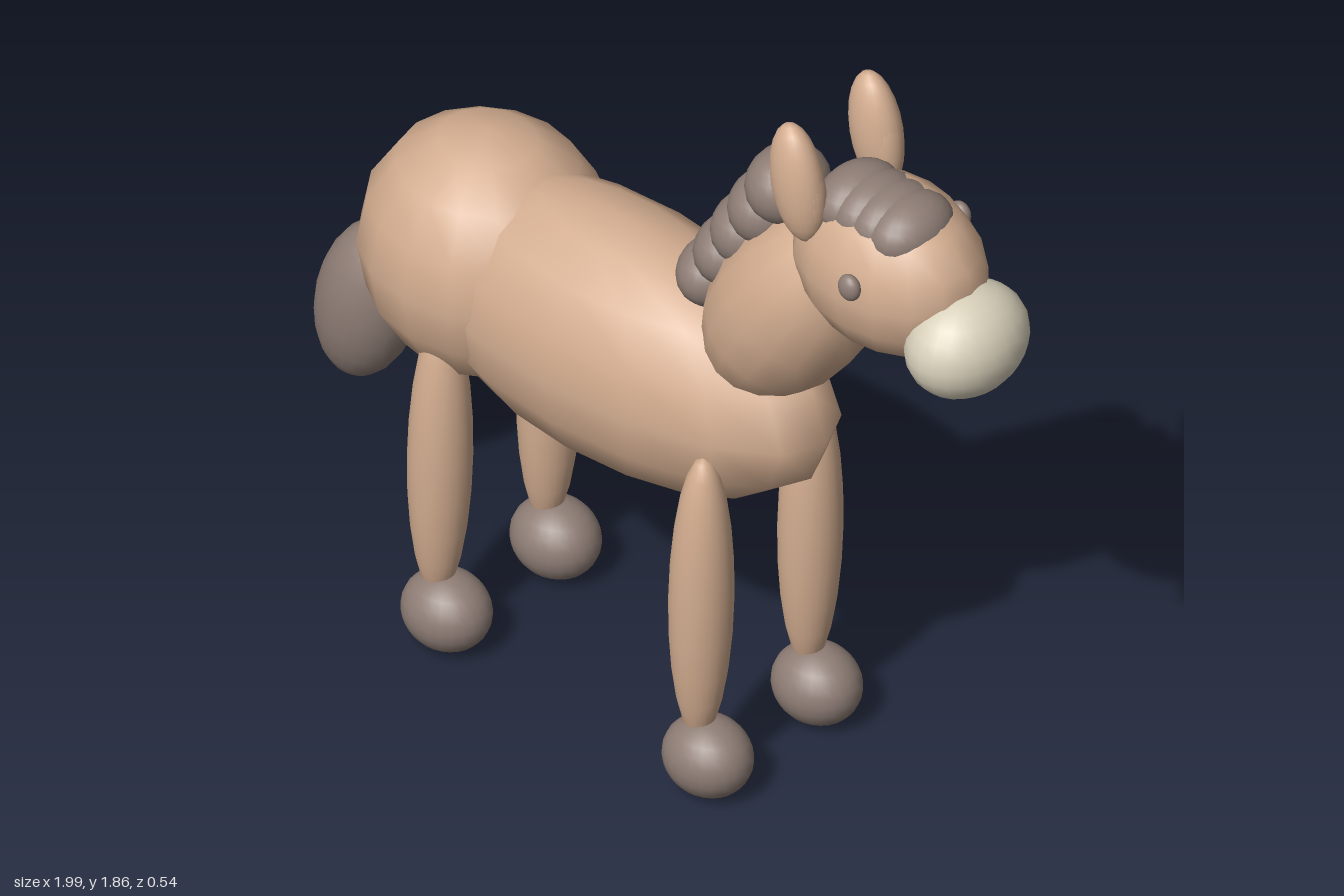
import * as THREE from 'three';

const mat = (name, color) => {
  const m = new THREE.MeshStandardMaterial({ color });
  m.name = name;
  return m;
};

export function createModel() {
  const horse = new THREE.Group();
  horse.name = 'horse';
  const coat = mat('tan coat', 0xd3ad90);
  const hair = mat('grey brown hair', 0x8e7d75);
  const cream = mat('cream muzzle', 0xd8d0ba);

  // Every part is a smooth ellipsoid: centre, radii, tilt about z
  const blob = (name, material, centre, radii, tilt = 0, rings = 12) => {
    const mesh = new THREE.Mesh(new THREE.SphereGeometry(1, rings > 8 ? 24 : 16, rings), material);
    mesh.name = name;
    mesh.position.set(...centre);
    mesh.scale.set(...radii);
    mesh.rotation.z = tilt;
    horse.add(mesh);
  };

  // Trunk, neck and head
  blob('body', coat, [-0.12, 0.93, 0], [0.59, 0.305, 0.25], 0, 8);
  blob('rump', coat, [-0.51, 0.962, 0], [0.293, 0.303, 0.268], 0, 8);
  blob('neck', coat, [0.385, 1.28, 0], [0.18, 0.325, 0.175], -0.56, 8);
  blob('head', coat, [0.655, 1.518, 0], [0.24, 0.205, 0.175], 0, 8);
  blob('muzzle', cream, [0.875, 1.425, 0], [0.12, 0.126, 0.152]);

  // Paired parts
  for (const [side, s] of [['left', 1], ['right', -1]]) {
    blob(side + 'Ear', coat, [0.5, 1.722, s * 0.124], [0.064, 0.146, 0.051], 0.17);
    blob(side + 'InnerEar', coat, [0.527, 1.705, s * 0.122], [0.04, 0.105, 0.04], 0.12);
    blob(side + 'Eye', hair, [0.695, 1.567, s * 0.174], [0.028, 0.032, 0.02]);
    for (const [end, x, y] of [['Front', 0.265, 0.51], ['Back', -0.49, 0.5]]) {
      blob(side + end + 'Leg', coat, [x, y, s * 0.172], [0.07, 0.38, 0.072], -0.02);
      blob(side + end + 'Hoof', hair, [x + 0.019, 0.095, s * 0.172], [0.105, 0.092, 0.092]);
    }
  }

  // Mane down the back of the neck
  for (let i = 0; i < 5; i++) {
    const r = 0.08 + i * 0.002;
    blob('maneTuft', hair, [0.15 + i * 0.051, 1.235 + i * 0.084, -0.004], [r, r, 0.1]);
  }

  // Forelock over the brow
  for (let i = 0; i < 4; i++) {
    blob('forelockTuft', hair, [0.575 + i * 0.05, 1.66 - i * 0.002, 0.013], [0.08, 0.074, 0.107]);
  }

  // Tail
  blob('tailBase', coat, [-0.795, 0.85, -0.01], [0.05, 0.11, 0.055], -0.35);
  blob('tail', hair, [-0.872, 0.618, -0.02], [0.119, 0.218, 0.108], -0.22);

  return horse;
}
